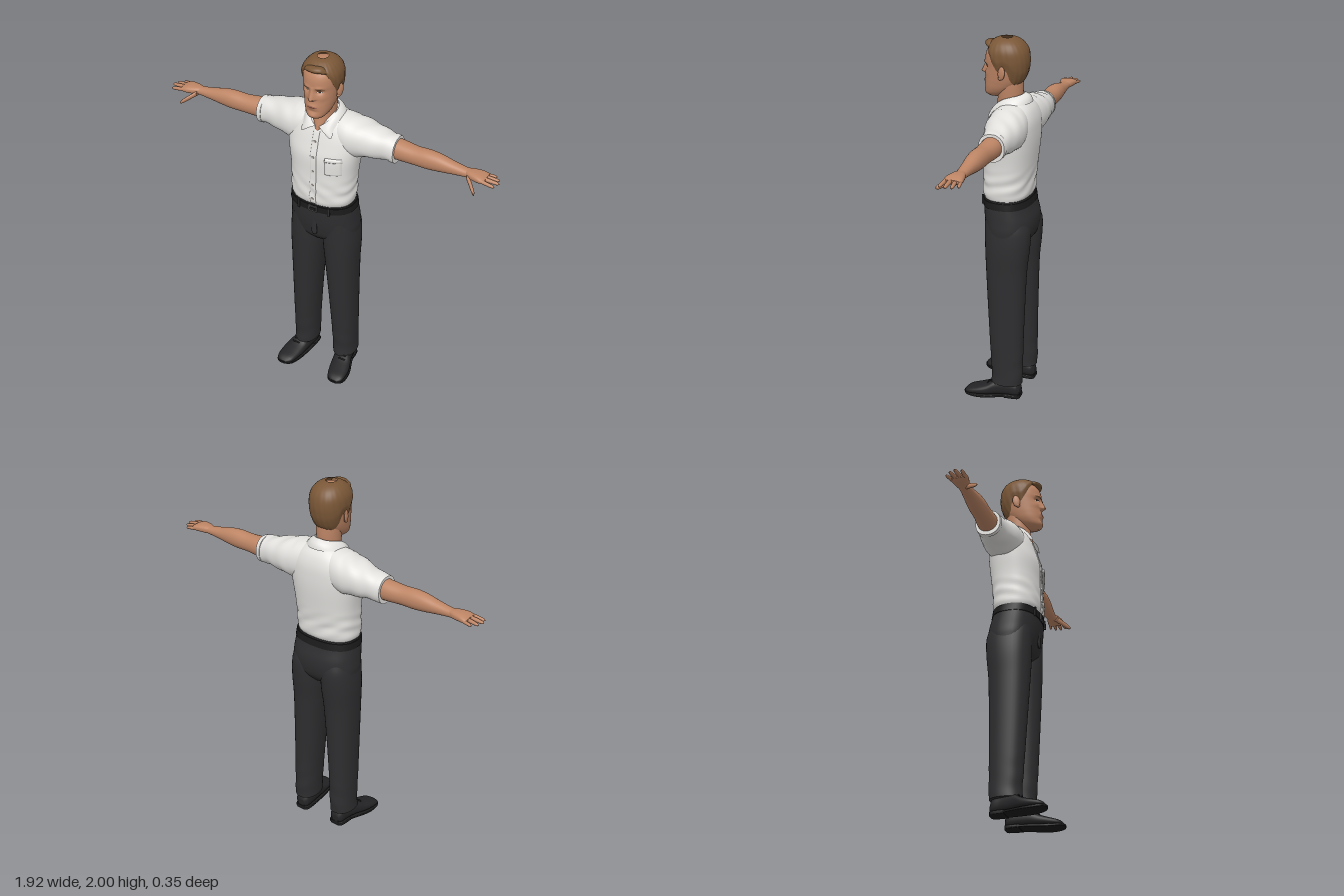
import * as THREE from 'three';

const mat = (name, color, side = THREE.FrontSide) => {
  const m = new THREE.MeshStandardMaterial({ color, side });
  m.name = name;
  return m;
};
const { sin, cos, abs, exp, pow, sign, PI, min, max } = Math;
const bell = (x, w) => exp(-(x / w) * (x / w));

// Smooth interpolation of rows of numbers keyed by their first entry
function sample(rows, t) {
  let i = 0;
  while (i < rows.length - 2 && t > rows[i + 1][0]) i++;
  const a = rows[i], b = rows[i + 1], p = rows[max(0, i - 1)], q = rows[min(rows.length - 1, i + 2)];
  const h = b[0] - a[0], k = min(1, max(0, (t - a[0]) / h));
  return a.map((v, c) => {
    if (c === 0) return t;
    const m0 = (b[c] - p[c]) / (b[0] - p[0]) * h, m1 = (q[c] - v) / (q[0] - a[0]) * h;
    const k2 = k * k, k3 = k2 * k;
    return (2 * k3 - 3 * k2 + 1) * v + (k3 - 2 * k2 + k) * m0 + (3 * k2 - 2 * k3) * b[c] + (k3 - k2) * m1;
  });
}

// Surface from f(u, v) -> [x, y, z]; wrap closes it in u, caps close both ends
function grid(f, nu, nv, wrap = false, caps = false) {
  const pos = [], idx = [], w = wrap ? nu : nu + 1;
  for (let j = 0; j <= nv; j++) for (let i = 0; i < w; i++) pos.push(...f(i / nu, j / nv));
  for (let j = 0; j < nv; j++) for (let i = 0; i < nu; i++) {
    const a = j * w + i, b = j * w + (i + 1) % w;
    idx.push(a, b, b + w, a, b + w, a + w);
  }
  if (caps) for (const j of [0, nv]) {
    const base = pos.length / 3, c = [0, 0, 0];
    for (let i = 0; i < w; i++) {
      const p = f(i / nu, j / nv);
      pos.push(...p);
      p.forEach((v, k) => { c[k] += v / w; });
    }
    pos.push(...c);
    for (let i = 0; i < w; i++) {
      const a = base + i, b = base + (i + 1) % w;
      if (j) idx.push(a, b, base + w); else idx.push(b, a, base + w);
    }
  }
  const g = new THREE.BufferGeometry();
  g.setAttribute('position', new THREE.Float32BufferAttribute(pos, 3));
  g.setIndex(idx);
  g.computeVertexNormals();
  return g;
}

// Loft along an axis (0 x, 1 y, 2 z); rows are [t, min, max, min, max] of the next two axes
const point = (axis, s, a, n, off = 0) => {
  const p = [0, 0, 0], c = cos(a), d = sin(a);
  p[axis] = s[0];
  p[(axis + 1) % 3] = (s[1] + s[2]) / 2 + ((s[2] - s[1]) / 2 + off) * sign(c) * pow(abs(c), 2 / n);
  p[(axis + 2) % 3] = (s[3] + s[4]) / 2 + ((s[4] - s[3]) / 2 + off) * sign(d) * pow(abs(d), 2 / n);
  return p;
};
function loft(axis, rows, { n = 2, seg = 36, steps = 30, warp = p => p } = {}) {
  const t0 = rows[0][0], t1 = rows[rows.length - 1][0];
  return grid((u, v) => warp(point(axis, sample(rows, t0 + (t1 - t0) * v), u * 2 * PI, n)), seg, steps, true, true);
}
// Front z of a vertical loft at a given x and y
function frontZ(rows, x, y, n) {
  const s = sample(rows, y), k = min(1, abs(x) / s[4]);
  return (s[1] + s[2]) / 2 + (s[2] - s[1]) / 2 * pow(1 - pow(k, n), 1 / n);
}
function mirror(geo) {
  const g = geo.clone().applyMatrix4(new THREE.Matrix4().makeScale(-1, 1, 1)), a = g.index.array;
  for (let i = 0; i < a.length; i += 3) [a[i], a[i + 1]] = [a[i + 1], a[i]];
  return g;
}

const sym = rows => rows.map(([y, z0, z1, r]) => [y, z0, z1, -r, r]);
const HEAD = sym([[1.685, .03, .092, .02], [1.70, 0, .11, .046], [1.73, -.045, .113, .066], [1.77, -.085, .112, .078],
  [1.81, -.102, .108, .085], [1.85, -.11, .107, .09], [1.89, -.113, .109, .093], [1.93, -.106, .1, .09],
  [1.96, -.086, .078, .074], [1.978, -.06, .05, .052], [1.987, -.035, .028, .03], [1.99, -.012, .006, .008]]);
const TORSO = sym([[1.155, -.136, .098, .17], [1.18, -.147, .108, .177], [1.25, -.15, .108, .178], [1.35, -.16, .105, .184],
  [1.45, -.17, .103, .197], [1.52, -.172, .085, .203], [1.58, -.168, .066, .19], [1.63, -.152, .045, .15],
  [1.66, -.13, .03, .11], [1.685, -.1, .015, .07]]);
const HN = 2.2, TN = 2.4;

// Nose, sockets, brow ridge, cheeks, lips and chin
function faceRelief(x, y) {
  const r = y > 1.81 ? max(0, (1.878 - y) / .068) : max(0, (y - 1.796) / .014);
  return .03 * r * bell(x, .01 + .007 * r)
    - .011 * bell(abs(x) - .037, .018) * bell(y - 1.849, .012)
    + .005 * bell(abs(x) - .035, .025) * bell(y - 1.872, .009)
    + .004 * bell(abs(x) - .05, .018) * bell(y - 1.815, .016)
    + .006 * bell(x, .026) * bell(y - 1.765, .012) - .004 * bell(x, .03) * bell(y - 1.738, .008)
    + .006 * bell(x, .024) * bell(y - 1.713, .012);
}

export function createModel() {
  const root = new THREE.Group();
  root.name = 'man';
  const D = THREE.DoubleSide;
  const skin = mat('skin', 0xbd8565), hair = mat('hair brown', 0x7a5737, D), shirt = mat('shirt white', 0xe3e2df, D);
  const trousers = mat('trouser charcoal', 0x2e2e30), shoe = mat('shoe black', 0x242426), belt = mat('belt black', 0x1b1b1c);
  const metal = mat('buckle metal', 0x5a5a5c), lip = mat('lip', 0x9c6450, D), white = mat('eye white', 0xd8cfc6, D), dark = mat('eye dark', 0x2e211a, D);
  const add = (name, geo, material) => {
    const m = new THREE.Mesh(geo, material);
    m.name = name;
    root.add(m);
    return m;
  };
  const pair = (name, geo, material) => {
    add(name + 'Left', geo, material);
    add(name + 'Right', mirror(geo), material);
  };

  // Head and neck
  add('head', loft(1, HEAD, { n: HN, seg: 120, steps: 90, warp: p => {
    if (p[2] > .03) p[2] += faceRelief(p[0], p[1]) * min(1, (p[2] - .03) / .03);
    return p;
  } }), skin);
  add('neck', loft(1, sym([[1.595, -.07, .064, .025], [1.63, -.08, .056, .048], [1.67, -.086, .046, .06],
    [1.72, -.09, .045, .064], [1.78, -.09, .04, .066]])), skin);
  const ear = new THREE.SphereGeometry(1, 20, 16).scale(.009, .036, .021).rotateX(-.15).rotateY(-.3).translate(.096, 1.83, -.006);
  pair('ear', ear, skin);
  pair('earLobe', new THREE.SphereGeometry(.011, 12, 10).translate(.09, 1.803, .002), skin);

  // Flat almond shapes laid on the face
  const onFace = (cx, cy, w, h, off, bend = 0) => grid((u, v) => {
    const s = u * 2 - 1, x = cx + s * w, y = cy + (v * 2 - 1) * h * (1 - s * s * .9) - bend * s * s;
    return [x, y, frontZ(HEAD, x, y, HN) + faceRelief(x, y) + off];
  }, 12, 4);
  pair('eye', onFace(.037, 1.849, .015, .005, .0025), white);
  pair('iris', onFace(.036, 1.849, .006, .005, .004), dark);
  pair('upperLid', onFace(.037, 1.855, .018, .0022, .004, .004), dark);
  pair('eyebrow', onFace(.038, 1.871, .023, .0045, .003, .004), hair);
  add('lips', onFace(0, 1.764, .029, .0075, .002, .002), lip);
  add('mouthLine', onFace(0, 1.765, .028, .0012, .0035, .002), dark);

  // Hair: a shell above a hairline that drops from forehead to nape
  const hairline = [[0, 1.947], [.6, 1.943], [.95, 1.915], [1.2, 1.872], [1.42, 1.835], [1.6, 1.845], [1.8, 1.84], [2.05, 1.79], [2.5, 1.76], [PI, 1.755]];
  add('hair', grid((u, v) => {
    const a = u * 2 * PI, lo = sample(hairline, a > PI ? 2 * PI - a : a)[1];
    const y = lo + (1.989 - lo) * sin(v * PI / 2);
    const off = .003 + .008 * min(1, v * 5) + .0012 * sin(a * 22 + v * 9) * (1 - v);
    const p = point(1, sample(HEAD, y), a, HN, off);
    p[1] += .011 * min(1, max(0, (y - 1.9) / .08));
    return p;
  }, 96, 32, true), hair);
  add('fringe', loft(0, [[-.062, 1.945, 1.955, .07, .078], [-.045, 1.948, 1.972, .06, .096], [0, 1.95, 1.982, .06, .111],
    [.04, 1.95, 1.98, .055, .1], [.062, 1.948, 1.96, .06, .076]]), hair);

  // Shirt body with soft folds at the waist
  const folds = p => {
    const k = .003 * max(0, 1 - abs(p[1] - 1.24) / .1);
    p[2] += k * sin(p[0] * 45 + p[1] * 70);
    p[0] += k * sin(p[1] * 90 + p[2] * 20);
    return p;
  };
  add('shirtBody', loft(1, TORSO, { n: TN, seg: 64, steps: 50, warp: folds }), shirt);
  pair('sleeve', loft(0, [[.05, 1.47, 1.675, -.14, .03], [.12, 1.45, 1.668, -.16, .05], [.2, 1.45, 1.653, -.164, .045],
    [.27, 1.462, 1.634, -.155, .025], [.34, 1.467, 1.618, -.142, .006], [.4, 1.466, 1.606, -.134, 0]], { n: 2.2, warp: p => {
    p[1] += .003 * sin(p[0] * 60 + p[2] * 40) * (p[0] > .15 ? 1 : 0);
    return p;
  } }), shirt);
  pair('sleeveHem', loft(0, [[.375, 1.464, 1.613, -.14, .005], [.4, 1.463, 1.608, -.136, .002]], { n: 2.2, steps: 2 }), shirt);

  // Collar: a folded band with two points at the front
  const top = [[0, 1.612], [.6, 1.645], [1.57, 1.692], [PI, 1.716]];
  const low = [[0, 1.578], [.4, 1.585], [1, 1.635], [1.57, 1.66], [PI, 1.668]];
  add('collar', grid((u, v) => {
    const a = .14 + u * (2 * PI - .28), b = a > PI ? 2 * PI - a : a, k = 1 - v;
    const flare = .062 * bell(b - .15, .5) * sign(PI - a);
    return [sin(a) * (.07 + .038 * k) + flare * k, sample(top, b)[1] * v + sample(low, b)[1] * k + .006 * sin(v * PI),
      -.02 - .012 * k + cos(a) * (.08 + .028 * k) + .008 * sin(v * PI) * cos(a)];
  }, 64, 6), shirt);

  // Placket, buttons and chest pocket follow the shirt front
  const onShirt = (x0, x1, y0, y1, off, nu, nv) => grid((u, v) => {
    const x = x0 + (x1 - x0) * u, y = y0 + (y1 - y0) * v, edge = u === 0 || u === 1 || v === 0 || v === 1;
    const p = folds([x, y, frontZ(TORSO, x, y, TN)]);
    p[2] += edge ? -.001 : off;
    return p;
  }, nu, nv);
  add('placket', onShirt(-.018, .018, 1.16, 1.605, .004, 10, 50), shirt);
  add('pocket', onShirt(.065, .15, 1.365, 1.465, .006, 16, 16), shirt);
  add('pocketHem', onShirt(.063, .152, 1.445, 1.468, .009, 16, 6), shirt);
  for (let i = 0; i < 5; i++) {
    const y = 1.2 + i * .085;
    add('button' + (i + 1), new THREE.CylinderGeometry(.007, .007, .005, 14).rotateX(PI / 2)
      .translate(0, y, folds([0, y, frontZ(TORSO, 0, y, TN)])[2] + .005), white);
  }

  // Arms and hands
  pair('arm', loft(0, [[.36, 1.485, 1.597, -.123, -.014], [.42, 1.485, 1.592, -.122, -.014], [.5, 1.487, 1.585, -.112, -.016],
    [.57, 1.486, 1.588, -.11, -.016], [.63, 1.49, 1.583, -.106, -.02], [.71, 1.5, 1.565, -.096, -.028],
    [.78, 1.507, 1.553, -.09, -.034], [.81, 1.51, 1.552, -.091, -.034]], { n: 2.1 }), skin);
  pair('palm', loft(0, [[.785, 1.51, 1.552, -.088, -.036], [.81, 1.51, 1.554, -.096, -.025], [.85, 1.51, 1.553, -.104, -.014],
    [.875, 1.513, 1.547, -.106, -.013], [.89, 1.52, 1.54, -.1, -.02]], { n: 2.5 }), skin);
  const digit = (name, x0, x1, from, to, r) => pair(name, loft(0, [0, .3, .7, .93, 1].map((k, i) => {
    const y = from[0] + (to[0] - from[0]) * k, z = from[1] + (to[1] - from[1]) * k, q = r * [1.1, 1, .9, .65, .15][i];
    return [x0 + (x1 - x0) * k, y - q, y + q, z - q, z + q];
  }), { seg: 14, steps: 14 }), skin);
  digit('littleFinger', .86, .925, [1.528, -.094], [1.522, -.107], .0095);
  digit('ringFinger', .86, .95, [1.531, -.071], [1.523, -.081], .0105);
  digit('middleFinger', .86, .96, [1.533, -.048], [1.525, -.051], .011);
  digit('indexFinger', .86, .947, [1.532, -.024], [1.522, -.018], .0105);
  digit('thumb', .795, .865, [1.523, -.04], [1.478, .031], .0145);

  // Trousers
  add('trouserSeat', loft(1, sym([[.89, -.12, .04, .12], [.93, -.155, .073, .18], [.98, -.17, .088, .192], [1.04, -.171, .098, .189],
    [1.1, -.156, .102, .184], [1.16, -.142, .102, .177]]), { n: 2.4, seg: 48 }), trousers);
  pair('trouserLeg', loft(1, [[.085, -.136, .036, .06, .19], [.14, -.137, .036, .058, .188], [.3, -.138, .046, .05, .189],
    [.5, -.142, .058, .036, .19], [.75, -.15, .072, .014, .193], [.88, -.163, .078, .001, .196], [.98, -.166, .08, .002, .19],
    [1.04, -.15, .08, .01, .18]], { n: 2.2, steps: 60, warp: p => {
    p[2] += .003 * sin(p[1] * 55 + p[0] * 20) * max(0, 1 - p[1] / .35);
    return p;
  } }), trousers);
  add('fly', new THREE.CapsuleGeometry(.016, .1, 6, 12).scale(1, 1, .4).translate(0, 1.02, .093), trousers);

  // Belt
  add('belt', loft(1, sym([[1.115, -.155, .106, .187], [1.153, -.149, .108, .183]]), { n: 2.4, seg: 48, steps: 3 }), belt);
  add('buckle', new THREE.BoxGeometry(.05, .034, .008).translate(0, 1.134, .109), metal);
  add('buckleInset', new THREE.BoxGeometry(.036, .02, .008).translate(0, 1.134, .111), belt);
  pair('beltLoop', new THREE.BoxGeometry(.012, .05, .008).rotateY(.25).translate(.09, 1.133, .1), trousers);

  // Shoes with sole and heel
  pair('shoeUpper', loft(2, [[-.127, .1, .145, .02, .06], [-.117, .084, .16, .01, .088], [-.06, .079, .17, .01, .105], [0, .083, .185, .01, .105],
    [.05, .09, .204, .01, .078], [.1, .1, .213, .01, .061], [.15, .116, .211, .01, .046], [.168, .132, .2, .012, .035],
    [.176, .15, .185, .016, .026]], { n: 2.4 }), shoe);
  pair('shoeSole', loft(2, [[-.128, .095, .15, .002, .02], [-.118, .08, .164, .002, .02], [-.05, .077, .172, .004, .02], [.05, .088, .207, .001, .018],
    [.1, .098, .216, 0, .018], [.15, .114, .214, .004, .02], [.172, .132, .2, .008, .022], [.18, .15, .185, .011, .022]], { n: 5 }), belt);
  pair('shoeHeel', loft(2, [[-.128, .095, .15, 0, .024], [-.118, .08, .164, 0, .024], [-.045, .078, .172, 0, .024]], { n: 6, steps: 10 }), belt);
  for (let i = 0; i < 3; i++) pair('lace' + (i + 1), new THREE.CapsuleGeometry(.004, .035, 4, 8).rotateZ(PI / 2)
    .translate(.142 + i * .004, .102 - i * .011, .012 + i * .018), belt);

  return root;
}
